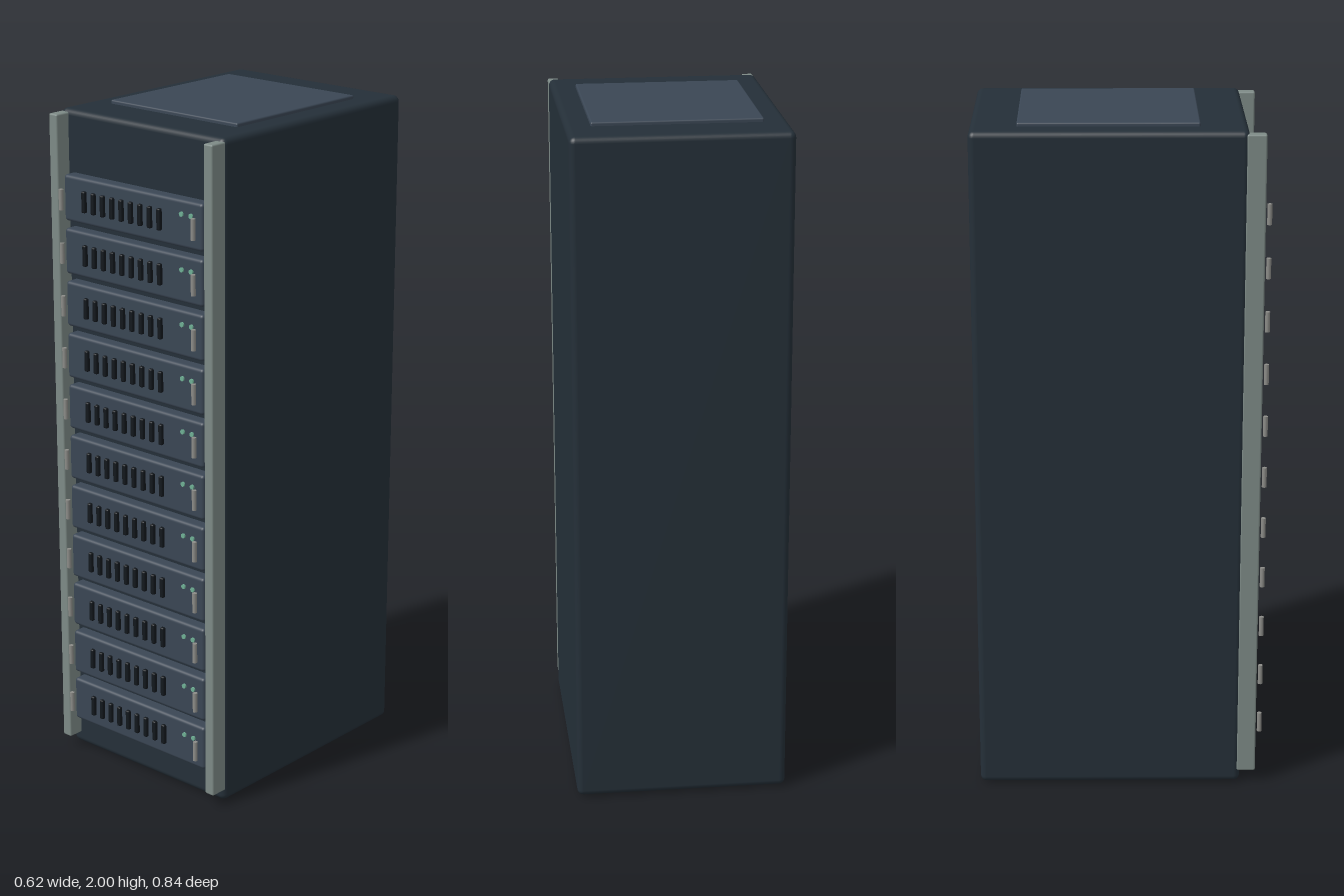
import * as THREE from 'three';
import { RoundedBoxGeometry } from 'three/addons/geometries/RoundedBoxGeometry.js';

const mat = (color) => new THREE.MeshStandardMaterial({ color });

export function createModel() {
  const group = new THREE.Group();
  const shell = mat(0x242f38), panel = mat(0x3a4654), railMat = mat(0x7d8a86);
  const dark = mat(0x12171c), metal = mat(0x8c8c88), green = mat(0x6fb095);

  const add = (parent, name, geometry, material, x, y, z) => {
    const mesh = new THREE.Mesh(geometry, material);
    mesh.name = name;
    mesh.position.set(x, y, z);
    parent.add(mesh);
    return mesh;
  };
  const box = (w, h, d, r) => new RoundedBoxGeometry(w, h, d, 3, r);

  // Cabinet shell and raised roof panel
  add(group, 'cabinet', box(0.62, 1.985, 0.777, 0.018), shell, 0, 0.9965, -0.034);
  add(group, 'roofPanel', box(0.48, 0.02, 0.51, 0.005), panel, 0, 1.99, -0.035);

  // Front rails and feet, mirrored left and right
  const rail = box(0.032, 1.94, 0.056, 0.005);
  const foot = new THREE.CylinderGeometry(0.032, 0.032, 0.03, 20);
  for (const s of [-1, 1]) {
    add(group, 'frontRail', rail, railMat, s * 0.293, 1.01, 0.373);
    for (const z of [-0.295, 0.27]) add(group, 'foot', foot, metal, s * 0.25, 0.015, z);
  }

  // Stack of rack units, each with vents, handles and status lights
  const body = box(0.53, 0.135, 0.06, 0.01);
  const vent = box(0.014, 0.062, 0.014, 0.004);
  const handle = new THREE.CylinderGeometry(0.007, 0.007, 0.06, 12);
  const light = new THREE.CylinderGeometry(0.007, 0.007, 0.005, 12).rotateX(Math.PI / 2);
  for (let i = 0; i < 11; i++) {
    const unit = new THREE.Group();
    unit.name = 'rackUnit';
    unit.position.y = 0.174 + i * 0.1568;
    group.add(unit);
    add(unit, 'unitBody', body, panel, 0, 0, 0.361);
    for (let j = 0; j < 9; j++) add(unit, 'vent', vent, dark, -0.181 + j * 0.0361, 0, 0.394);
    for (const s of [-1, 1]) add(unit, 'handle', handle, metal, s * 0.252, 0, 0.415);
    for (const x of [0.2, 0.235]) add(unit, 'statusLight', light, green, x, 0.032, 0.405);
  }
  return group;
}
